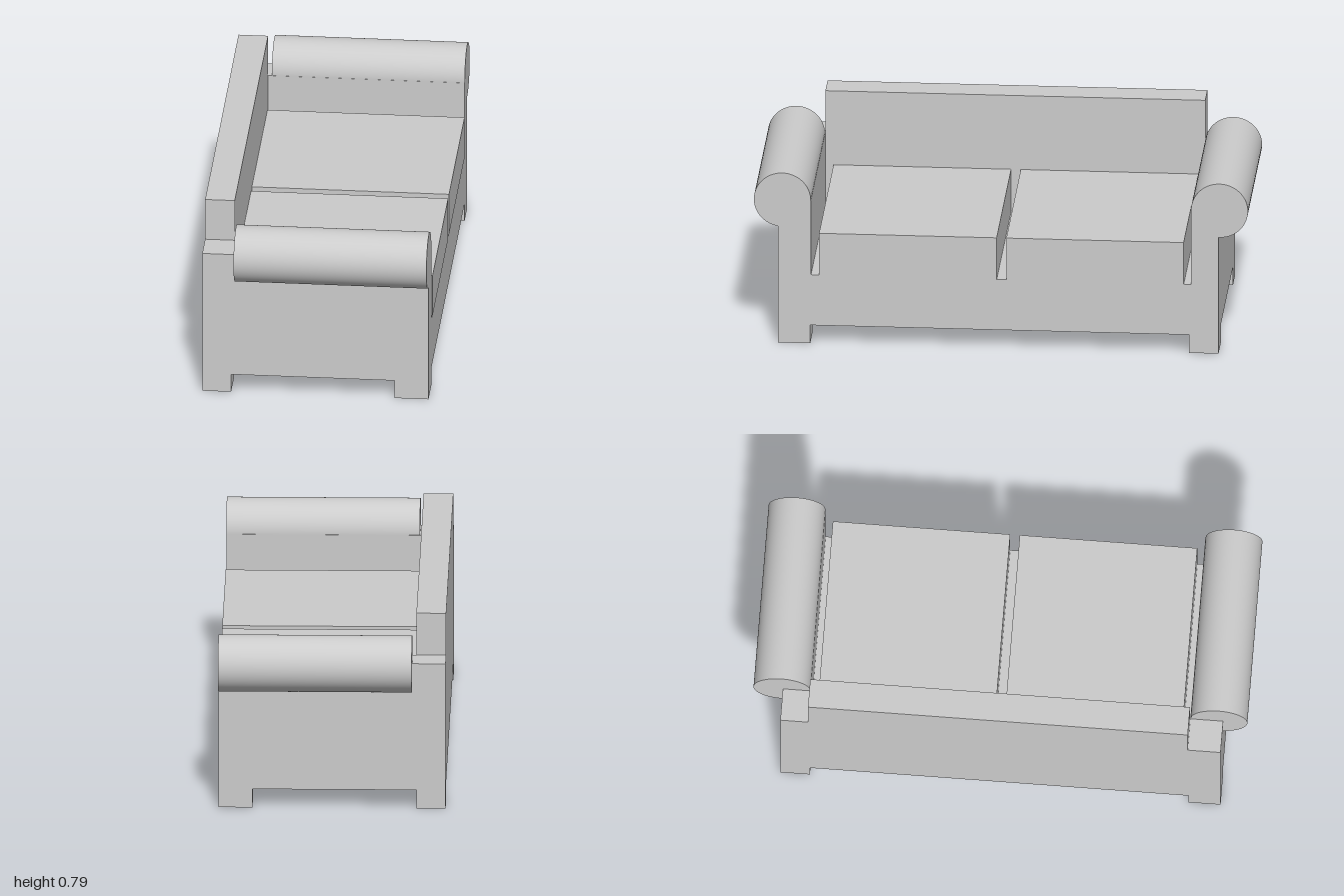
import * as THREE from 'three';

const material = new THREE.MeshStandardMaterial({ color: 0xcccccc });

function addMesh(group, name, geometry) {
  const mesh = new THREE.Mesh(geometry, material);
  mesh.name = name;
  group.add(mesh);
  return mesh;
}

// Box given by its minimum and maximum on each axis
function addBox(group, name, [x0, x1], [y0, y1], [z0, z1]) {
  const mesh = addMesh(group, name, new THREE.BoxGeometry(x1 - x0, y1 - y0, z1 - z0));
  mesh.position.set((x0 + x1) / 2, (y0 + y1) / 2, (z0 + z1) / 2);
}

export function createModel() {
  const sofa = new THREE.Group();
  sofa.name = 'sofa';

  const backX = -0.46, frontX = 0.457;
  const inner = 0.769, outerLeft = 0.902, outerRight = -0.881;
  const bottom = 0.078, seat = 0.295, armTop = 0.615;

  // Seat base and both arm panels: one U profile, extruded from back to front
  const profile = new THREE.Shape([
    [-outerLeft, bottom], [-outerRight, bottom], [-outerRight, armTop], [inner, armTop],
    [inner, seat], [-inner, seat], [-inner, armTop], [-outerLeft, armTop],
  ].map(([x, y]) => new THREE.Vector2(x, y)));
  const frame = addMesh(sofa, 'frame',
    new THREE.ExtrudeGeometry(profile, { depth: frontX - backX, bevelEnabled: false }));
  frame.rotation.y = Math.PI / 2;
  frame.position.x = backX;

  // Backrest
  addBox(sofa, 'backrest', [backX, -0.34], [seat, 0.793], [-inner, inner]);

  // Seat cushions
  for (const z of [[0.017, 0.736], [-0.74, -0.022]]) {
    addBox(sofa, 'seatCushion', [-0.34, 0.459], [seat, 0.475], z);
  }

  // Rolled armrests
  for (const side of [1, -1]) {
    const roll = addMesh(sofa, 'armRoll', new THREE.CylinderGeometry(0.115, 0.115, 0.782, 64));
    roll.rotation.z = Math.PI / 2;
    roll.position.set(0.066, armTop, side * 0.885);
  }

  // Feet
  for (const x of [[backX, -0.343], [0.32, frontX]]) {
    for (const z of [[0.772, outerLeft], [outerRight, -0.761]]) {
      addBox(sofa, 'foot', x, [0, bottom], z);
    }
  }

  return sofa;
}
